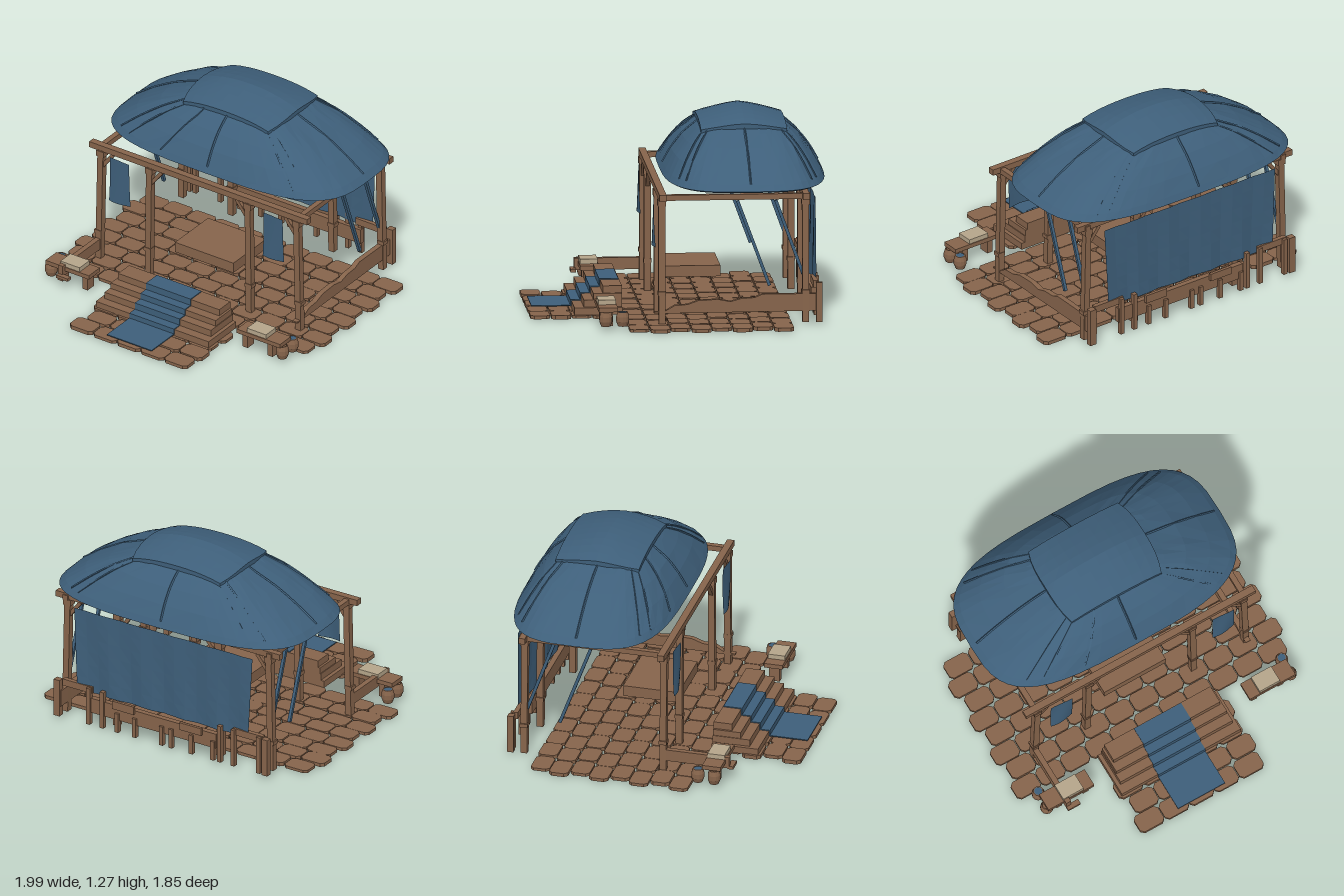
import * as THREE from 'three';

const wood = new THREE.MeshStandardMaterial({ color: 0x86644b, flatShading: true });
wood.name = 'wood';
const cloth = new THREE.MeshStandardMaterial({ color: 0x3e5f7a, flatShading: true, side: THREE.DoubleSide });
cloth.name = 'blue cloth';
const linen = new THREE.MeshStandardMaterial({ color: 0xb5a58a, flatShading: true });
linen.name = 'linen';

export function createModel() {
  const root = new THREE.Group();
  let seed = 7;
  const rand = () => (seed = (seed * 16807) % 2147483647) / 2147483647;

  const add = (name, geo, mat, x = 0, y = 0, z = 0) => {
    const m = new THREE.Mesh(geo, mat);
    m.name = name;
    m.position.set(x, y, z);
    root.add(m);
    return m;
  };
  // box given by its extents on each axis
  const box = (name, mat, x0, x1, y0, y1, z0, z1) =>
    add(name, new THREE.BoxGeometry(x1 - x0, y1 - y0, z1 - z0), mat, (x0 + x1) / 2, (y0 + y1) / 2, (z0 + z1) / 2);
  // square bar between two points
  const bar = (name, mat, a, b, w) => {
    const p = new THREE.Vector3(...a), q = new THREE.Vector3(...b);
    const m = add(name, new THREE.BoxGeometry(w, p.distanceTo(q), w), mat);
    m.position.copy(p).lerp(q, 0.5);
    m.quaternion.setFromUnitVectors(new THREE.Vector3(0, 1, 0), q.sub(p).normalize());
    return m;
  };

  // paving: rows of slabs with clipped corners
  const slab = (x, z, w, d) => {
    const a = w / 2, b = d / 2, c = 0.022;
    const s = new THREE.Shape([[-a + c, -b], [a - c, -b], [a, -b + c], [a, b - c], [a - c, b], [-a + c, b], [-a, b - c], [-a, -b + c]]
      .map(p => new THREE.Vector2(...p)));
    const g = new THREE.ExtrudeGeometry(s, { depth: 0.018 + rand() * 0.008, bevelEnabled: false });
    add('pavingSlab', g.rotateX(-Math.PI / 2), wood, x, 0, z);
  };
  const row = (x0, x1, z, n) => {
    const p = (x1 - x0) / n;
    for (let i = 0; i < n; i++) slab(x0 + p * (i + 0.5), z, p - 0.006, 0.122);
  };
  for (let k = 0; k < 8; k++) {
    const s = k % 2 ? -0.04 : 0;
    row(-0.96 + s, 1 + s, -0.62 + k * 0.129, 11);
  }
  for (let k = 0; k < 4; k++) row(k % 2 ? -0.41 : -0.45, k % 2 ? 0.47 : 0.45, 0.865 - k * 0.13, 5);

  // stairs with a carpet runner
  const steps = [[0.43, 0.65, 0.065], [0.405, 0.59, 0.11], [0.4, 0.53, 0.15], [0.385, 0.47, 0.195]];
  let floorY = 0.03, frontZ = 0.9;
  for (const [w, z, y] of steps) {
    box('stairStep', wood, -w, w, floorY - 0.01, y, 0.35, z);
    box('carpetTread', cloth, -0.17, 0.17, floorY, floorY + 0.006, z, frontZ);
    box('carpetRiser', cloth, -0.17, 0.17, floorY, y + 0.006, z, z + 0.006);
    floorY = y;
    frontZ = z;
  }
  box('carpetTread', cloth, -0.17, 0.17, floorY, floorY + 0.006, 0.355, frontZ);

  // platform in the middle
  box('platform', wood, -0.225, 0.22, 0.215, 0.285, -0.28, 0.08);

  // posts, capitals and braces
  for (const z of [0.13, -0.77]) {
    for (const s of [-1, 1]) {
      for (const [xb, xt, yb] of [[0.762, 0.745, 0.02], [0.385, 0.375, 0.02]]) {
        bar('post', wood, [s * xb, yb, z], [s * xt, 0.81, z], 0.042);
        box('postCapital', wood, s * xt - 0.027, s * xt + 0.027, 0.765, 0.805, z - 0.026, z + 0.026);
        box('postCollar', wood, s * xb - 0.026, s * xb + 0.026, 0.2, 0.225, z - 0.025, z + 0.025);
        bar('brace', wood, [s * (xt - 0.005), 0.69, z], [s * (xt - 0.09), 0.8, z], 0.024);
      }
    }
  }
  box('frontBeam', wood, -0.83, 0.83, 0.805, 0.845, 0.105, 0.15);
  box('backBeam', wood, -0.83, 0.83, 0.805, 0.845, -0.79, -0.75);
  for (const s of [-1, 1]) box('sideBeam', wood, s * 0.755 - 0.018, s * 0.755 + 0.018, 0.8, 0.835, -0.8, 0.15);

  // hanging cloths with gentle waves
  const drape = (name, x0, x1, y0, y1, z, taper, amp) => {
    const g = new THREE.PlaneGeometry(x1 - x0, y1 - y0, 16, 6);
    const p = g.attributes.position;
    for (let i = 0; i < p.count; i++) {
      const t = 0.5 - p.getY(i) / (y1 - y0);
      p.setZ(i, amp * Math.sin(p.getX(i) * 24 + t * 2) * (0.4 + t * 0.6));
      p.setX(i, p.getX(i) * (1 - taper * t));
    }
    add(name, g, cloth, (x0 + x1) / 2, (y0 + y1) / 2, z);
  };
  drape('backCurtain', -0.66, 0.66, 0.23, 0.79, -0.84, 0.04, 0.008);
  for (const s of [-1, 1]) {
    drape('frontCurtain', s * 0.585 - 0.075, s * 0.585 + 0.075, 0.485, 0.795, 0.168, -0.05, 0.01);
    bar('clothRope', cloth, [s * 0.745, 0.79, -0.345], [s * 0.745, 0.25, -0.545], 0.02);
    bar('clothRope', cloth, [s * 0.745, 0.79, -0.585], [s * 0.745, 0.32, -0.755], 0.02);
  }

  // worn side wall
  const wall = new THREE.Shape([[0.87, 0.09], [0.87, 0.198], [0.5, 0.2], [0.45, 0.178], [0.37, 0.175], [0.3, 0.155], [0.22, 0.17],
    [0.1, 0.165], [0.03, 0.14], [-0.05, 0.135], [-0.11, 0.1], [-0.18, 0.095], [-0.18, 0.085]].map(p => new THREE.Vector2(...p)));
  add('sideWall', new THREE.ExtrudeGeometry(wall, { depth: 0.035, bevelEnabled: false }).rotateY(Math.PI / 2), wood, 0.74);
  box('sideRail', wood, -0.78, -0.745, 0.09, 0.165, 0.15, 0.56);
  box('sideRailEnd', wood, -0.78, -0.69, 0.085, 0.105, 0.55, 0.585);

  // back fence
  box('fenceRail', wood, -0.4, 0.56, 0.1, 0.2, -0.855, -0.82);
  box('fenceBoard', wood, 0.2, 0.36, 0.18, 0.235, -0.875, -0.855);
  box('fenceBoard', wood, -0.3, -0.14, 0.17, 0.22, -0.875, -0.855);
  for (const x of [0.54, 0.44, 0.33, 0.2, 0, -0.07, -0.22, -0.38, -0.43, -0.53, -0.72])
    box('fencePost', wood, x - 0.014, x + 0.014, 0.02, Math.abs(x) > 0.4 ? 0.27 : 0.15, -0.87, -0.84);
  for (const s of [-1, 1]) {
    box('fenceTopRail', wood, s * 0.63 - 0.11, s * 0.63 + 0.11, 0.23, 0.275, -0.85, -0.82);
    box('cornerPost', wood, s * 0.77 - 0.022, s * 0.77 + 0.022, 0.02, 0.27, -0.875, -0.835);
  }

  // side tables with linen, and barrels
  const barrel = [[0, 0], [0.03, 0], [0.041, 0.03], [0.041, 0.06], [0.032, 0.09], [0.026, 0.09], [0.026, 0.08], [0, 0.08]]
    .map(p => new THREE.Vector2(...p));
  for (const s of [-1, 1]) {
    box('tableTop', wood, s * 0.728 - 0.165, s * 0.728 + 0.165, 0.12, 0.148, 0.415, 0.535);
    for (const x of [0.61, 0.8]) box('tableLeg', wood, s * x - 0.02, s * x + 0.02, 0.02, 0.12, 0.44, 0.51);
    box('tableLinen', linen, s * 0.71 - 0.073, s * 0.71 + 0.073, 0.148, 0.178, 0.42, 0.53);
    for (const z of [0.385, 0.49]) add('barrel', new THREE.LatheGeometry(barrel, 12), wood, s * 0.88, 0.03, z);
    add('barrelFill', new THREE.CylinderGeometry(0.026, 0.026, 0.006, 12), cloth, s * 0.88, 0.115, 0.385);
  }

  // canopy: rounded rectangular rings [half x, half z, y, squareness]
  const rings = [[0.88, 0.49, 0.862, 3.3], [0.9, 0.508, 0.872, 3.3], [0.86, 0.487, 0.91, 3.3], [0.73, 0.435, 1.0, 3.2],
    [0.57, 0.365, 1.09, 3.2], [0.42, 0.295, 1.15, 3.4], [0.34, 0.255, 1.18, 4]];
  const N = 48, pos = [], idx = [];
  const ringPoint = ([a, c, y, n], t) => {
    const u = Math.cos(t), v = Math.sin(t);
    const f = (k) => Math.sign(k) * Math.abs(k) ** (2 / n);
    return [a * f(u), y, c * f(v)];
  };
  rings.forEach((r, i) => {
    for (let j = 0; j < N; j++) {
      const p = ringPoint(r, j / N * Math.PI * 2);
      if (i > 1) p[1] += (rand() - 0.5) * 0.008;
      pos.push(...p);
      if (i) {
        const a = (i - 1) * N + j, b = (i - 1) * N + (j + 1) % N;
        idx.push(a, a + N, b, b, a + N, b + N);
      }
    }
  });
  const dome = new THREE.BufferGeometry();
  dome.setAttribute('position', new THREE.Float32BufferAttribute(pos, 3));
  dome.setIndex(idx);
  dome.computeVertexNormals();
  add('canopy', dome, cloth, 0, 0, -0.42);

  // pleats running down the canopy
  for (const t of [0, 0.78, 0.95, 1.57, 1.8, 2.2, 2.4, 3.14, 3.85, 4.05, 4.71, 5.35, 5.5]) {
    const pts = rings.slice(2).map(r => new THREE.Vector3(...ringPoint(r, t)));
    add('canopyPleat', new THREE.TubeGeometry(new THREE.CatmullRomCurve3(pts), 10, 0.007, 4), cloth, 0, 0, -0.42);
  }

  // raised ridge panel with a short hem
  const cap = new THREE.BoxGeometry(0.72, 0.04, 0.54, 10, 1, 8);
  const cp = cap.attributes.position;
  for (let i = 0; i < cp.count; i++) {
    const x = cp.getX(i), z = cp.getZ(i), w = Math.abs(z) / 0.27, e = Math.abs(x) / 0.36;
    cp.setX(i, x * (1 - 0.1 * w ** 3 * e));
    cp.setY(i, cp.getY(i) + 1.25 - 0.07 * w ** 1.3 - 0.065 * e ** 2.2 * (1 - 0.45 * w));
  }
  cap.computeVertexNormals();
  add('canopyTop', cap, cloth, 0, 0, -0.42);

  return root;
}
